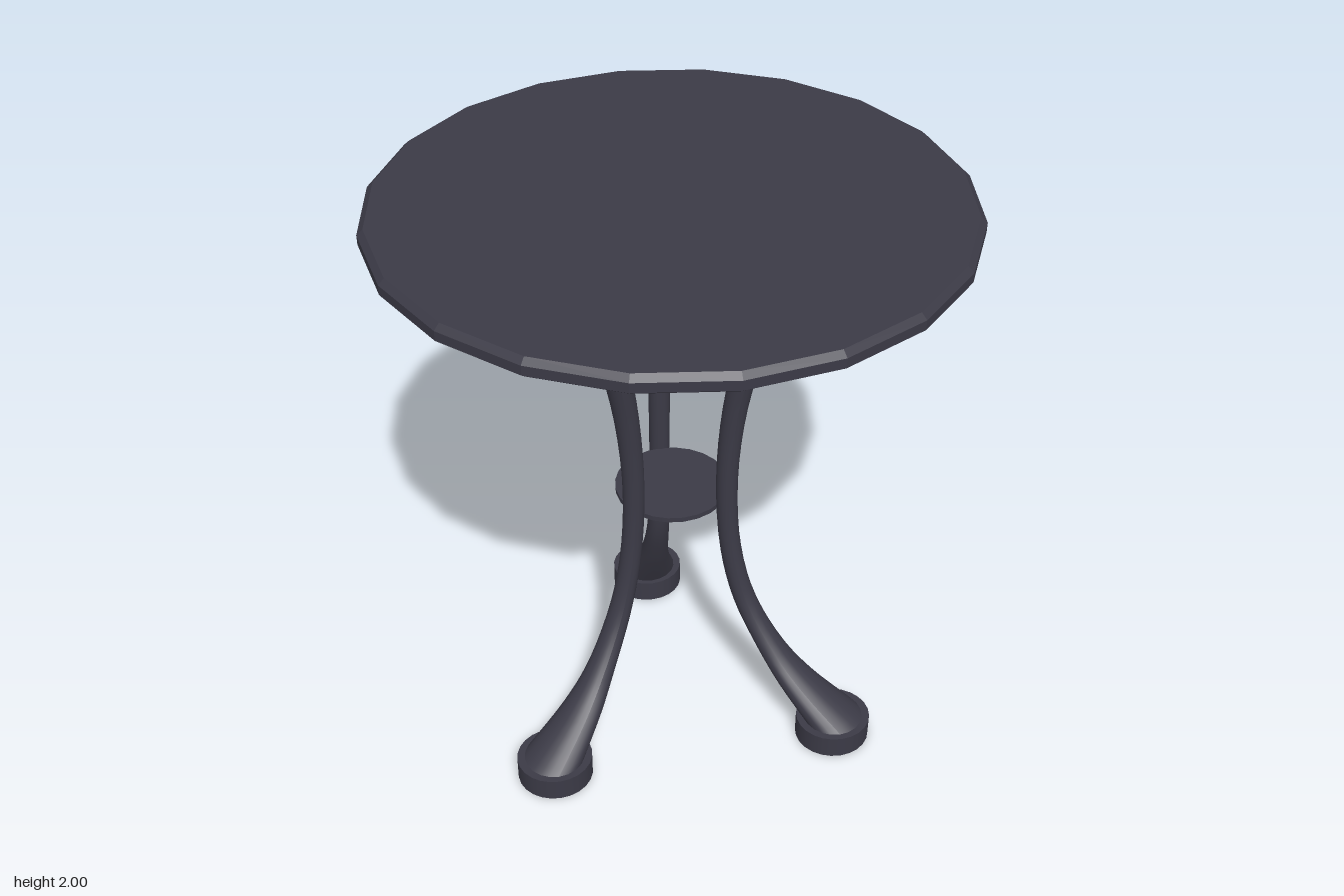
import * as THREE from 'three';

const paint = (flatShading = false) => new THREE.MeshStandardMaterial({ color: 0x3b3a46, flatShading });

function part(name, geometry, material = paint()) {
  const mesh = new THREE.Mesh(geometry, material);
  mesh.name = name;
  return mesh;
}

// Leg stations: height, radius, x of the front legs, distance of the back leg from the centre
const STATIONS = [
  [0.07, 0.11, 0.52, 0.52],
  [0.2, 0.073, 0.39, 0.414],
  [0.3, 0.053, 0.315, 0.345],
  [0.48, 0.041, 0.228, 0.265],
  [0.7, 0.037, 0.178, 0.235],
  [1.0, 0.037, 0.16, 0.228],
  [1.3, 0.041, 0.18, 0.236],
  [1.6, 0.049, 0.231, 0.269],
  [1.95, 0.061, 0.297, 0.314],
];

const curveOf = (pick) => new THREE.CatmullRomCurve3(STATIONS.map(pick));
const backPath = curveOf(([y, , , z]) => new THREE.Vector3(0, y, -z));
const leftPath = curveOf(([y, , x, z]) => new THREE.Vector3(x, y, z - 0.08));
const rightPath = curveOf(([y, , x, z]) => new THREE.Vector3(-x, y, z - 0.08));
const radii = curveOf(([y, r]) => new THREE.Vector3(r, y, 0));

// Bends a unit tube along a path, keeping every cross-section level
function legGeometry(path) {
  const geometry = new THREE.CylinderGeometry(1, 1, 1, 20, 32, true);
  const pos = geometry.attributes.position;
  for (let i = 0; i < pos.count; i++) {
    const t = THREE.MathUtils.clamp(pos.getY(i) + 0.5, 0, 1);
    const c = path.getPoint(t);
    const r = radii.getPoint(t).x;
    pos.setXYZ(i, c.x + pos.getX(i) * r, c.y, c.z + pos.getZ(i) * r);
  }
  geometry.computeVertexNormals();
  return geometry;
}

export function createModel() {
  const model = new THREE.Group();
  model.name = 'roundTable';

  // Twenty-sided top with bevelled rim
  const rim = [[0, 1.933], [0.935, 1.933], [0.957, 1.95], [0.957, 1.982], [0.937, 2], [0, 2]];
  const top = new THREE.LatheGeometry(rim.map(([r, y]) => new THREE.Vector2(r, y)), 20);
  model.add(part('tableTop', top, paint(true)));

  // Small disc tying the legs together
  const disc = part('braceDisc', new THREE.CylinderGeometry(0.197, 0.197, 0.018, 24));
  disc.position.y = 0.887;
  model.add(disc);

  // Three curved legs, each on a round foot
  const legs = [
    ['backLeg', backPath, 0, -0.51],
    ['frontLeftLeg', leftPath, 0.505, 0.43],
    ['frontRightLeg', rightPath, -0.505, 0.43],
  ];
  for (const [name, path, x, z] of legs) {
    const leg = new THREE.Group();
    leg.name = name;
    const foot = part('foot', new THREE.CylinderGeometry(0.132, 0.132, 0.085, 24));
    foot.position.set(x, 0.0425, z);
    foot.scale.z = 0.95;
    leg.add(part('legShaft', legGeometry(path)), foot);
    model.add(leg);
  }
  return model;
}
